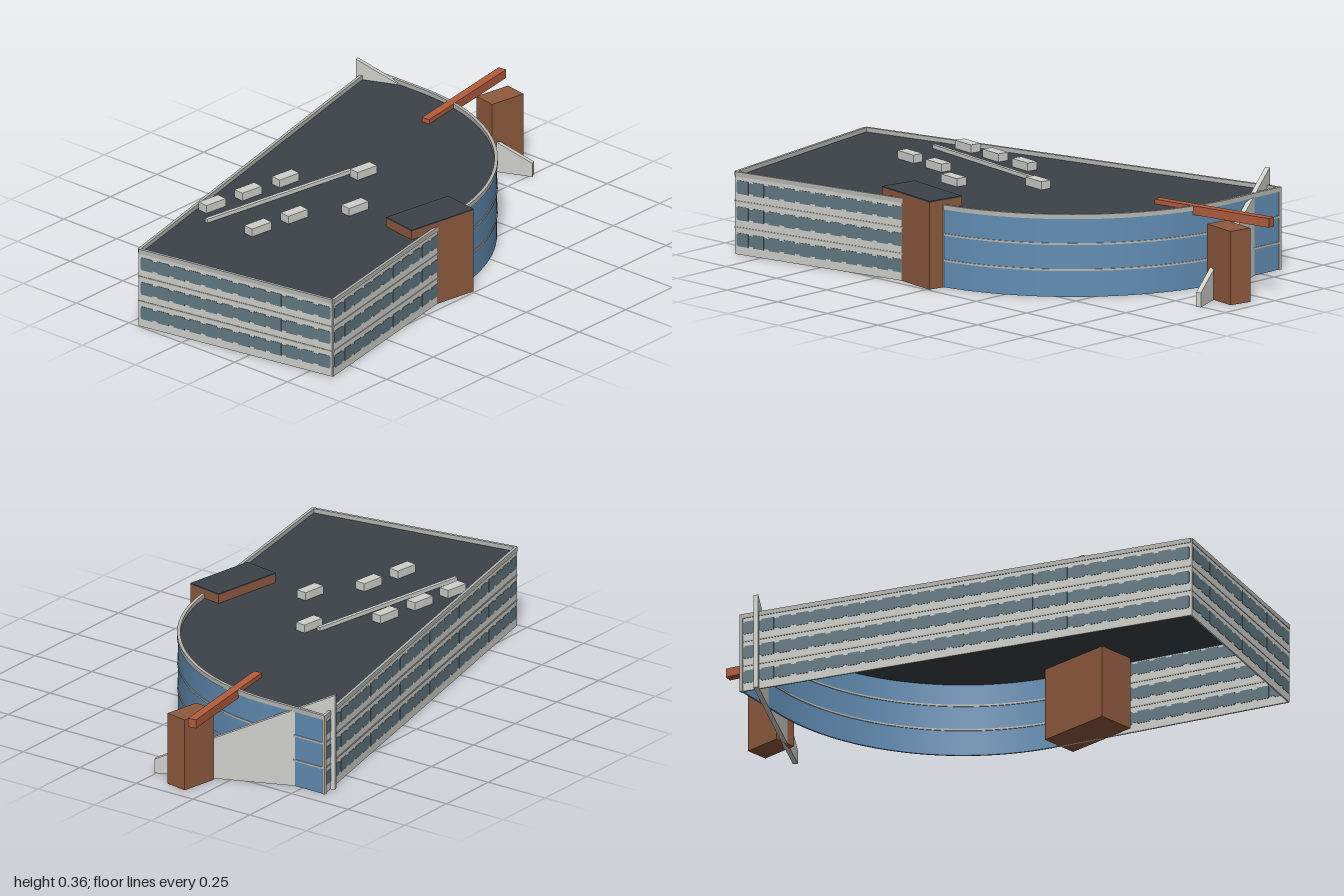
import * as THREE from 'three';
import { toCreasedNormals } from 'three/addons/utils/BufferGeometryUtils.js';

const mat = (name, color) => {
  const m = new THREE.MeshStandardMaterial({ color });
  m.name = name;
  return m;
};

export function createModel() {
  const model = new THREE.Group();
  model.name = 'officeBuilding';

  const cladding = mat('pale cladding', 0xcfd0cb);
  const trim = mat('grey trim', 0xb6b6b2);
  const windowGlass = mat('window glass', 0x627882);
  const curtainGlass = mat('blue curtain glass', 0x628db4);
  const roofing = mat('charcoal roofing', 0x3c4248);
  const brick = mat('brown brick', 0x8f5a3e);
  const rust = mat('rust beam', 0xb35c3d);

  const add = (parent, name, geometry, material) => {
    const mesh = new THREE.Mesh(geometry, material);
    mesh.name = name;
    parent.add(mesh);
    return mesh;
  };
  // Upright box, given by its centre on the ground plan and its heights
  const block = (parent, name, material, [x, z], [w, d], y0, y1, turn = 0) => {
    const m = add(parent, name, new THREE.BoxGeometry(w, y1 - y0, d), material);
    m.position.set(x, (y0 + y1) / 2, z);
    m.rotation.y = turn;
    return m;
  };
  // Ground plan outline (drawn with y = -z) raised between two heights
  const slab = (name, shape, y0, y1, material) => {
    const g = new THREE.ExtrudeGeometry(shape, { depth: y1 - y0, bevelEnabled: false, curveSegments: 40 });
    g.rotateX(-Math.PI / 2);
    g.translate(0, y0, 0);
    return add(model, name, toCreasedNormals(g, 0.5), material);
  };

  // Plan corners (x, z) and the arc of the curved front
  const backLeft = [-0.993, -0.207], frontLeft = [-0.859, 0.59];
  const arcStart = [0.02, 0.43], backRight = [0.682, -0.595];
  const cx = -0.105, cy = 0.35, R = 0.787, a0 = -1.412;

  // Roof deck
  const deck = new THREE.Shape();
  deck.moveTo(backLeft[0], -backLeft[1]);
  deck.lineTo(frontLeft[0], -frontLeft[1]);
  deck.absarc(cx, cy, R, a0, 0, false);
  deck.lineTo(backRight[0], -backRight[1]);
  deck.closePath();
  slab('roofDeck', deck, 0.275, 0.286, roofing);

  // Curved glass wall, its floor lines and parapet
  const curvedBand = (name, half, y0, y1, material) => {
    const s = new THREE.Shape();
    s.absarc(cx, cy, R + half, a0, 0, false);
    s.lineTo(cx + R + half, 0.598);
    s.lineTo(cx + R - half, 0.598);
    s.absarc(cx, cy, R - half, 0, a0, true);
    s.closePath();
    slab(name, s, y0, y1, material);
  };
  curvedBand('curvedGlassWall', 0.003, 0, 0.286, curtainGlass);
  curvedBand('curvedParapet', 0.006, 0.285, 0.302, trim);
  for (const y of [0.095, 0.19]) curvedBand('curvedFloorLine', 0.006, y, y + 0.007, trim);

  // Straight walls with three rows of ribbon windows, seen from inside too
  const straightWall = (name, [x0, z0], [x1, z1], windowEnd = 1) => {
    const L = Math.hypot(x1 - x0, z1 - z0);
    const wall = new THREE.Group();
    wall.name = name;
    wall.position.set(x0, 0, z0);
    wall.rotation.y = -Math.atan2(z1 - z0, x1 - x0);
    model.add(wall);
    block(wall, 'wallPanel', cladding, [L / 2, 0], [L, 0.006], 0, 0.29);
    block(wall, 'parapet', trim, [L / 2, 0], [L, 0.011], 0.285, 0.302);
    const W = L * windowEnd;
    const bays = Math.round(W / 0.065), step = W / bays;
    for (let floor = 0; floor < 3; floor++) {
      const y = floor * 0.096;
      if (floor) block(wall, 'floorLine', trim, [L / 2, 0], [L, 0.01], y, y + 0.005);
      block(wall, 'windowBand', windowGlass, [W / 2, 0], [W - 0.012, 0.008], y + 0.035, y + 0.074);
      for (let i = 0; i < bays; i++) {
        block(wall, 'window', windowGlass, [(i + 0.5) * step, 0], [step * 0.7, 0.009], y + 0.03, y + 0.079);
      }
    }
  };
  straightWall('backWall', backLeft, backRight);
  straightWall('sideWall', backLeft, frontLeft);
  straightWall('frontWall', frontLeft, arcStart, 0.82);
  block(model, 'cornerPost', trim, [0.683, -0.595], [0.012, 0.012], 0, 0.302);

  // Entrance tower with a dark cap
  const tower = [-0.12, 0.399], towerTurn = -0.162;
  block(model, 'tower', brick, tower, [0.284, 0.143], 0, 0.318, towerTurn);
  block(model, 'towerCap', roofing, tower, [0.284, 0.143], 0.318, 0.323, towerTurn);

  // Sloping fin wall that cuts through the back corner
  const finLength = 0.661;
  const finShape = new THREE.Shape([[0, 0], [finLength, 0], [finLength, 0.053], [0, 0.362]]
    .map(([x, y]) => new THREE.Vector2(x, y)));
  const finGeometry = new THREE.ExtrudeGeometry(finShape, { depth: 0.018, bevelEnabled: false });
  finGeometry.translate(0, 0, -0.009);
  const fin = add(model, 'slopingFin', finGeometry, cladding);
  fin.position.set(0.62, 0, -0.6);
  fin.rotation.y = -Math.atan2(0.61, 0.255);

  // Brick pier and the beam resting on it
  block(model, 'pier', brick, [0.873, -0.145], [0.143, 0.088], 0, 0.27, -0.175);
  block(model, 'beam', rust, [0.745, -0.203], [0.502, 0.032], 0.27, 0.303, 0.148);

  // Rooftop units and the duct between them
  const units = [[-0.54, -0.262], [-0.377, -0.235], [-0.206, -0.209], [-0.58, 0.01],
    [-0.414, -0.016], [-0.222, -0.134], [0.024, 0.043]];
  units.forEach(([x, z], i) => {
    // The front row stands on the other side of the duct
    const zz = i < 3 ? z : -z;
    block(model, 'roofUnit', cladding, [x, zz], [0.092, 0.042], 0.28, 0.316, -0.13);
  });
  block(model, 'roofDuct', cladding, [-0.31, -0.142], [0.68, 0.014], 0.28, 0.3, -0.166);

  return model;
}
